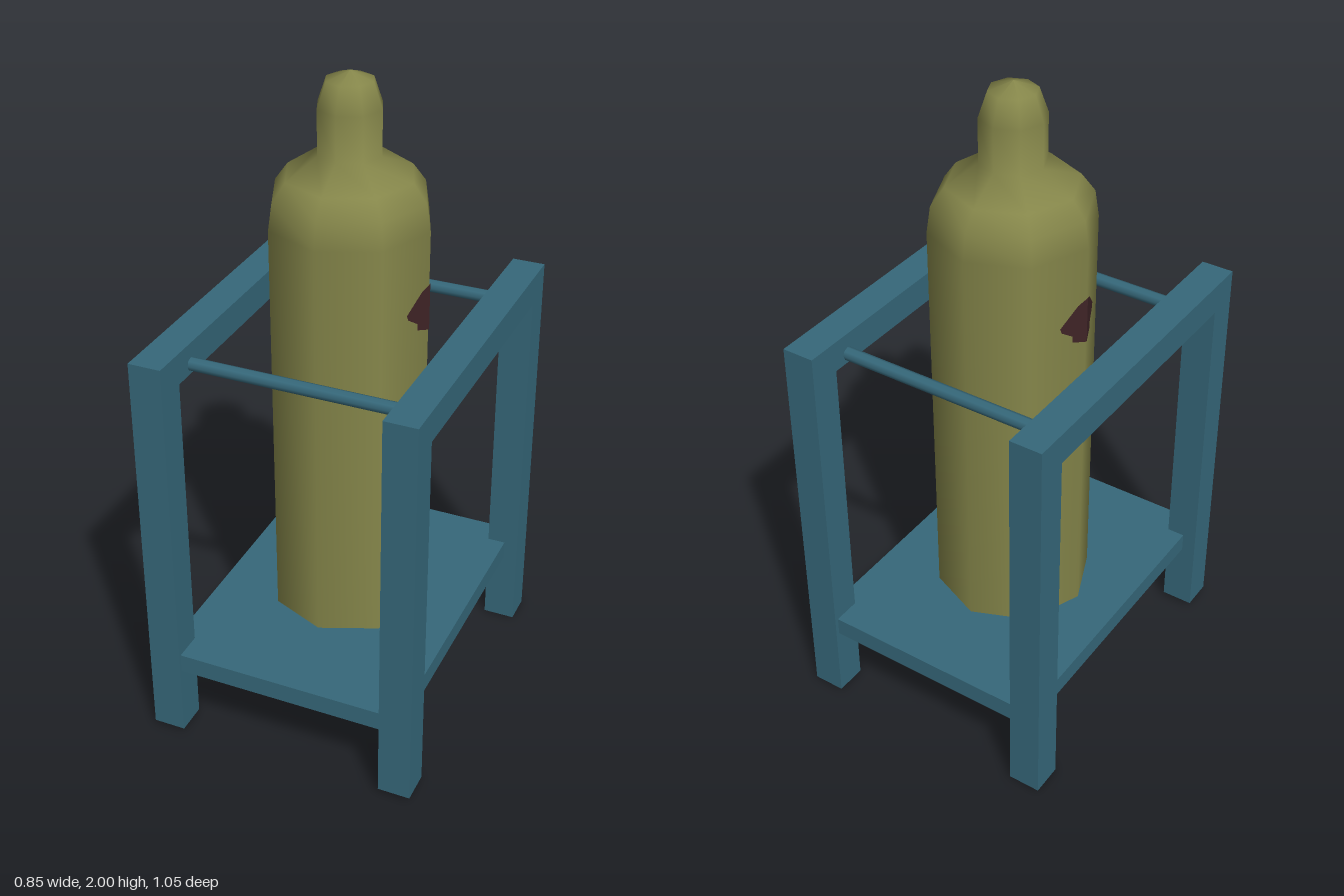
import * as THREE from 'three';

const teal = new THREE.MeshStandardMaterial({ color: 0x36687a });
teal.name = 'teal paint';
const olive = new THREE.MeshStandardMaterial({ color: 0x85864a });
olive.name = 'olive paint';
const maroon = new THREE.MeshStandardMaterial({ color: 0x3f2426, side: THREE.DoubleSide });
maroon.name = 'dark maroon';

const BOTTLE_Z = -0.013;
const BOTTLE_R = 0.242;

function add(parent, name, geometry, material, x = 0, y = 0, z = 0) {
  const mesh = new THREE.Mesh(geometry, material);
  mesh.name = name;
  mesh.position.set(x, y, z);
  parent.add(mesh);
  return mesh;
}

const points = list => list.map(([x, y]) => new THREE.Vector2(x, y));

// Two posts and their top rail as one upside-down U, drawn in z and y
function sideFrameGeometry() {
  const shape = new THREE.Shape(points([
    [-0.523, 0], [-0.425, 0], [-0.425, 1.19], [0.425, 1.19],
    [0.425, 0.015], [0.523, 0.015], [0.523, 1.284], [-0.523, 1.284],
  ]));
  const geometry = new THREE.ExtrudeGeometry(shape, { depth: 0.1, bevelEnabled: false });
  geometry.translate(0, 0, -0.05);
  geometry.rotateY(-Math.PI / 2);
  return geometry;
}

// Half of a painted patch, laid on one flat side of the eight-sided cylinder
function patchGeometry(sign) {
  const shape = new THREE.Shape(points([
    [0, 1.415], [0.03, 1.4], [0.085, 1.345], [0.08, 1.33],
    [0.045, 1.305], [0.045, 1.285], [0, 1.27],
  ]));
  const geometry = new THREE.ShapeGeometry(shape);
  const p = geometry.attributes.position;
  for (let i = 0; i < p.count; i++) {
    const w = p.getX(i);
    p.setXYZ(i, BOTTLE_R + 0.003 - w * Math.tan(Math.PI / 8), p.getY(i), sign * w);
  }
  geometry.computeVertexNormals();
  return geometry;
}

export function createModel() {
  const model = new THREE.Group();
  model.name = 'gas cylinder rack';

  // Rack
  const rack = new THREE.Group();
  rack.name = 'rack';
  model.add(rack);
  for (const side of [1, -1]) {
    add(rack, side > 0 ? 'leftFrame' : 'rightFrame', sideFrameGeometry(), teal, side * 0.374);
  }
  add(rack, 'shelf', new THREE.BoxGeometry(0.76, 0.06, 1.025), teal, 0, 0.268, 0.002);
  for (const [name, z] of [['frontRod', 0.354], ['backRod', -0.37]]) {
    const rod = new THREE.CylinderGeometry(0.02, 0.02, 0.66, 8);
    rod.rotateZ(Math.PI / 2);
    add(rack, name, rod, teal, 0, 1.22, z);
  }

  // Cylinder
  const cylinder = new THREE.Group();
  cylinder.name = 'gasCylinder';
  cylinder.position.z = BOTTLE_Z;
  model.add(cylinder);
  const profile = points([
    [BOTTLE_R, 0.29], [BOTTLE_R, 1.57], [0.23, 1.65], [0.19, 1.705],
    [0.096, 1.768], [0.096, 1.9], [0.07, 1.975], [0, 2],
  ]);
  add(cylinder, 'bottle', new THREE.LatheGeometry(profile, 8), olive);
  const base = new THREE.CircleGeometry(BOTTLE_R, 8);
  base.rotateX(Math.PI / 2);
  add(cylinder, 'bottleBase', base, olive, 0, 0.29, 0);

  // Patches on both sides
  for (const side of [1, -1]) {
    const patch = new THREE.Group();
    patch.name = side > 0 ? 'leftPatch' : 'rightPatch';
    patch.rotation.y = side > 0 ? 0 : Math.PI;
    for (const half of [1, -1]) add(patch, 'patchHalf', patchGeometry(half), maroon);
    cylinder.add(patch);
  }
  return model;
}
